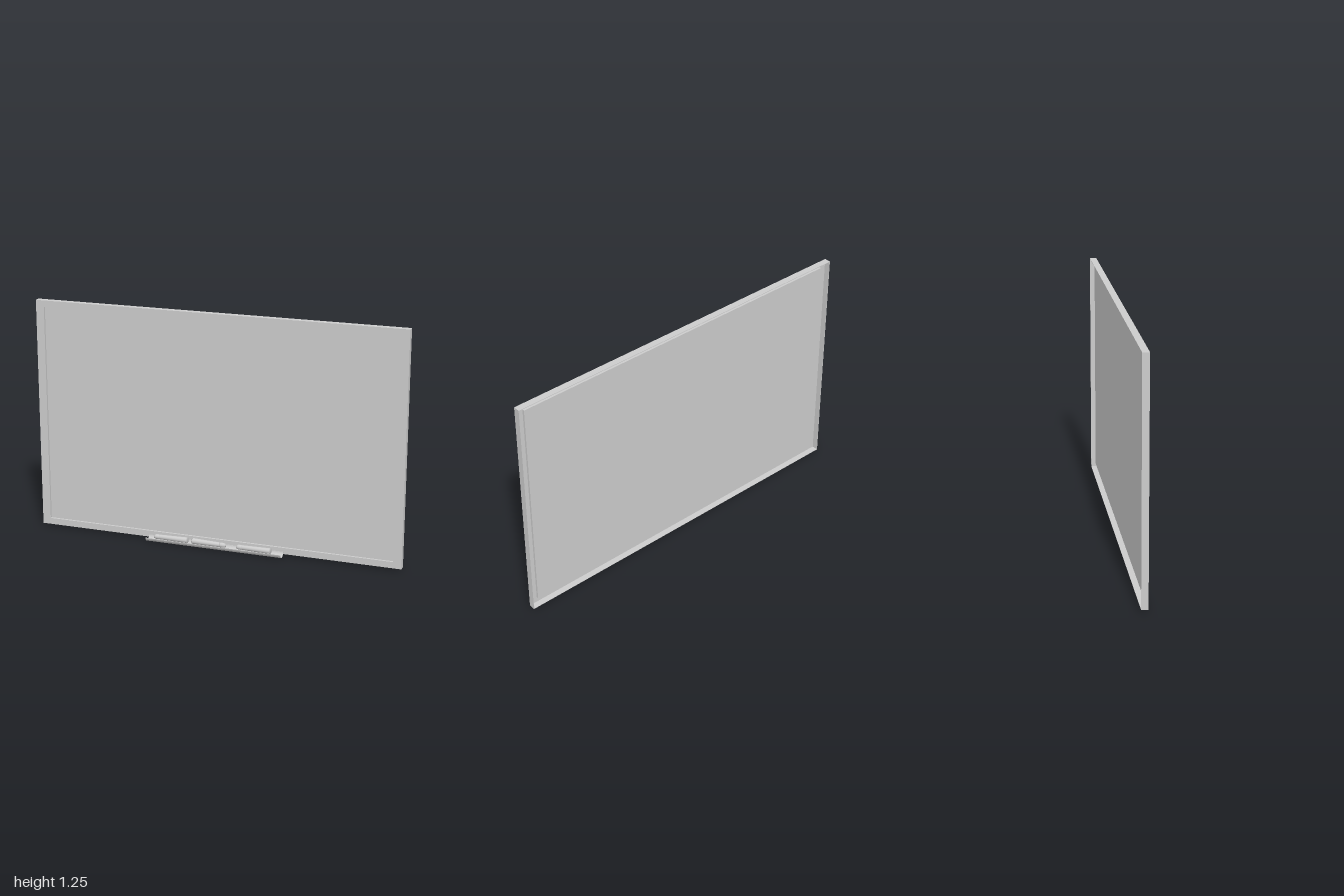
import * as THREE from 'three';

const grey = new THREE.MeshStandardMaterial({ color: 0xcccccc, side: THREE.DoubleSide });
const HALF = 1, BOTTOM = 0.01, TOP = 1.255, FRONT = -0.01, BACK = -0.045;

// Rectangular outline of the frame, inset sideways by ix and vertically by iy
function rect(ix, iy, Type = THREE.Shape) {
  const x = HALF - ix, b = BOTTOM + iy, t = TOP - iy;
  return new Type([[-x, b], [x, b], [x, t], [-x, t]].map(p => new THREE.Vector2(...p)));
}

// Rectangular ring between two insets, from z0 to z1
function ring(outer, inner, z0, z1) {
  const shape = rect(...outer);
  shape.holes.push(rect(...inner, THREE.Path));
  return new THREE.ExtrudeGeometry(shape, { depth: z1 - z0, bevelEnabled: false }).translate(0, 0, z0);
}

function add(parent, name, geometry) {
  const mesh = new THREE.Mesh(geometry, grey);
  mesh.name = name;
  parent.add(mesh);
  return mesh;
}

export function createModel() {
  const model = new THREE.Group();
  model.name = 'whiteboard';

  // Frame: thin front face, outer rim open at the back, and inner lip holding the panel
  const frame = new THREE.Group();
  frame.name = 'frame';
  model.add(frame);
  add(frame, 'frameFace', ring([0, 0], [0.045, 0.034], FRONT - 0.002, FRONT));
  add(frame, 'frameRim', ring([0, 0], [0.002, 0.002], BACK, FRONT - 0.002));
  add(frame, 'frameLip', ring([0.043, 0.032], [0.045, 0.034], -0.022, FRONT - 0.002));

  // Writing panel, recessed behind the frame face
  const panel = new THREE.ExtrudeGeometry(rect(0.043, 0.032), { depth: 0.002, bevelEnabled: false });
  add(model, 'writingPanel', panel.translate(0, 0, -0.024));

  // Tray: thin curved gutter running along x
  const a0 = Math.PI * 1.055, a1 = Math.PI * 1.945;
  const arc = new THREE.Shape();
  arc.absarc(0, 0, 0.028, a0, a1, false);
  arc.absarc(0, 0, 0.0255, a1, a0, true);
  const tray = new THREE.ExtrudeGeometry(arc, { depth: 0.75, bevelEnabled: false, curveSegments: 16 });
  tray.translate(0, 0, -0.375).rotateY(Math.PI / 2);
  add(model, 'tray', tray).position.set(0, 0.028, 0.0185);

  // Markers: turned bodies with a narrower cap, lying in the tray
  const body = [[0, -0.095], [0.015, -0.095], [0.0155, -0.09], [0.0125, 0.06], [0, 0.06]];
  const cap = [[0, 0.058], [0.0105, 0.058], [0.013, 0.066], [0.0125, 0.083], [0.009, 0.093], [0, 0.095]];
  const lathe = pts => new THREE.LatheGeometry(pts.map(p => new THREE.Vector2(...p)), 20).rotateZ(-Math.PI / 2);
  [[-0.24, Math.PI + 0.01], [-0.025, -0.03], [0.22, Math.PI - 0.01]].forEach(([x, turn]) => {
    const marker = new THREE.Group();
    marker.name = 'marker';
    add(marker, 'markerBody', lathe(body));
    add(marker, 'markerCap', lathe(cap));
    marker.position.set(x, 0.029, 0.02);
    marker.rotation.y = turn;
    model.add(marker);
  });

  return model;
}
